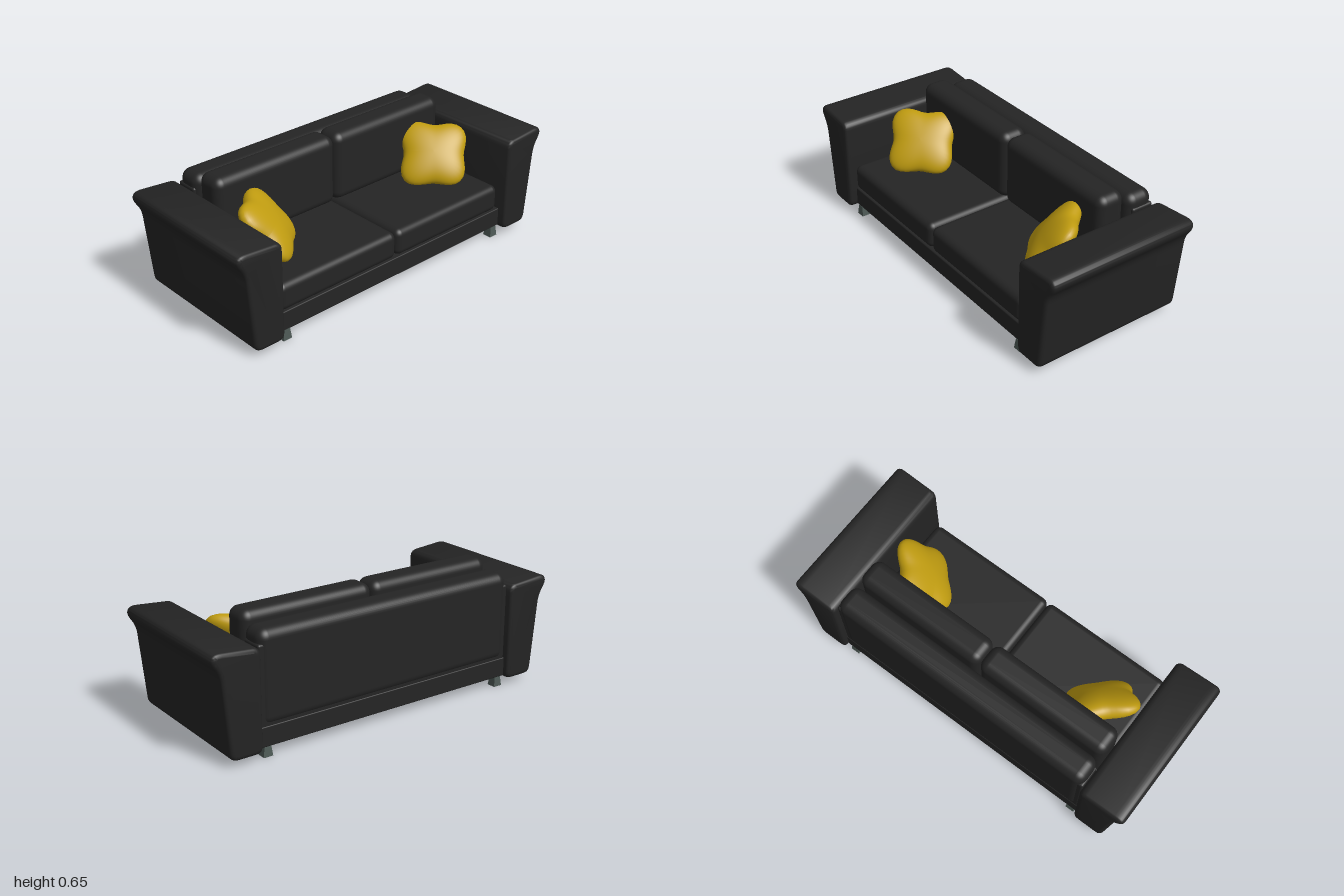
import * as THREE from 'three';
import { toCreasedNormals } from 'three/addons/utils/BufferGeometryUtils.js';
import { RoundedBoxGeometry } from 'three/addons/geometries/RoundedBoxGeometry.js';

const material = (name, color) => {
  const m = new THREE.MeshStandardMaterial({ color });
  m.name = name;
  return m;
};

// Closed polygon with each corner softened by radius r
function roundedPolygon(points, r) {
  const p = points.map(([x, y]) => new THREE.Vector2(x, y));
  const shape = new THREE.Shape();
  p.forEach((c, i) => {
    const prev = p[(i + p.length - 1) % p.length];
    const next = p[(i + 1) % p.length];
    const toward = (q) => c.clone().add(q.clone().sub(c).setLength(Math.min(r, c.distanceTo(q) * 0.45)));
    const a = toward(prev), b = toward(next);
    if (i === 0) shape.moveTo(a.x, a.y);
    else shape.lineTo(a.x, a.y);
    shape.quadraticCurveTo(c.x, c.y, b.x, b.y);
  });
  shape.closePath();
  return shape;
}

// Arm: flared outline pushed front to back with soft edges
function armGeometry(side) {
  const outline = [[0.747, 0.035], [0.917, 0.035], [0.958, 0.46], [1.006, 0.53], [0.985, 0.57], [0.747, 0.55]];
  const points = outline.map(([x, y]) => [x * side, y]);
  if (side < 0) points.reverse();
  const bevel = 0.022, depth = 0.825;
  const g = new THREE.ExtrudeGeometry(roundedPolygon(points, 0.04), {
    depth: depth - 2 * bevel, curveSegments: 6, bevelEnabled: true,
    bevelThickness: bevel, bevelSize: bevel, bevelOffset: -bevel, bevelSegments: 4,
  });
  g.translate(0, 0, -depth / 2 + bevel);
  return toCreasedNormals(g, 0.7);
}

// Scatter pillow: sphere reshaped to a puffy square with pulled corners
function pillowGeometry() {
  const g = new THREE.SphereGeometry(1, 48, 32);
  g.rotateX(Math.PI / 2);
  const pos = g.attributes.position;
  for (let i = 0; i < pos.count; i++) {
    const x = pos.getX(i), y = pos.getY(i), z = pos.getZ(i);
    const angle = Math.atan2(y, x);
    const flat = Math.min(1, Math.hypot(x, y));
    const radius = 0.183 - 0.025 * Math.cos(4 * angle) * flat + 0.004 * Math.sin(3 * angle + 1) * flat;
    const puff = 0.068 * Math.sign(z) * Math.pow(Math.abs(z), 0.9);
    pos.setXYZ(i, x * radius, y * radius, puff);
  }
  g.computeVertexNormals();
  return g;
}

export function createModel() {
  const group = new THREE.Group();
  group.name = 'sofa';
  const upholstery = material('black upholstery', 0x242424);
  const yellow = material('mustard fabric', 0xc09c10);
  const metal = material('grey legs', 0x4c5854);

  const add = (name, geometry, mat, x = 0, y = 0, z = 0) => {
    const mesh = new THREE.Mesh(geometry, mat);
    mesh.name = name;
    mesh.position.set(x, y, z);
    group.add(mesh);
    return mesh;
  };
  // Soft block given by its limits on each axis
  const block = (name, [x0, x1], [y0, y1], [z0, z1], r) =>
    add(name, new RoundedBoxGeometry(x1 - x0, y1 - y0, z1 - z0, 5, r), upholstery,
      (x0 + x1) / 2, (y0 + y1) / 2, (z0 + z1) / 2);

  // Frame and backrest
  block('baseFrame', [-0.75, 0.75], [0.05, 0.152], [-0.385, 0.37], 0.006);
  block('backrest', [-0.742, 0.742], [0.145, 0.615], [-0.39, -0.237], 0.05);
  block('backPanel', [-0.748, 0.748], [0.14, 0.55], [-0.382, -0.26], 0.012);

  // Seat and back cushions, one pair per place
  for (const [side, x0, x1] of [['right', -0.745, -0.01], ['left', -0.008, 0.727]]) {
    block(side + 'SeatCushion', [x0, x1], [0.154, 0.297], [-0.235, 0.375], 0.035);
    block(side + 'BackCushion', [x0, x1 + 0.003], [0.28, 0.655], [-0.226, -0.073], 0.048);
  }

  const pillow = pillowGeometry();
  for (const s of [-1, 1]) {
    const side = s < 0 ? 'right' : 'left';
    add(side + 'Arm', armGeometry(s), upholstery);

    // Pillow leaning into the corner
    const mesh = add(side + 'Pillow', pillow, yellow, s * 0.557, 0.422, 0.058);
    mesh.rotation.order = 'YXZ';
    mesh.rotation.set(-0.7, -s * Math.PI / 4, 0);

    // Square legs, wider at the foot
    for (const [end, z] of [['Front', 0.353], ['Back', -0.362]]) {
      const leg = new THREE.CylinderGeometry(0.026, 0.035, 0.054, 4, 1).rotateY(Math.PI / 4);
      add(side + end + 'Leg', toCreasedNormals(leg, 0.3), metal, s * 0.71, 0.027, z);
    }
  }
  return group;
}
